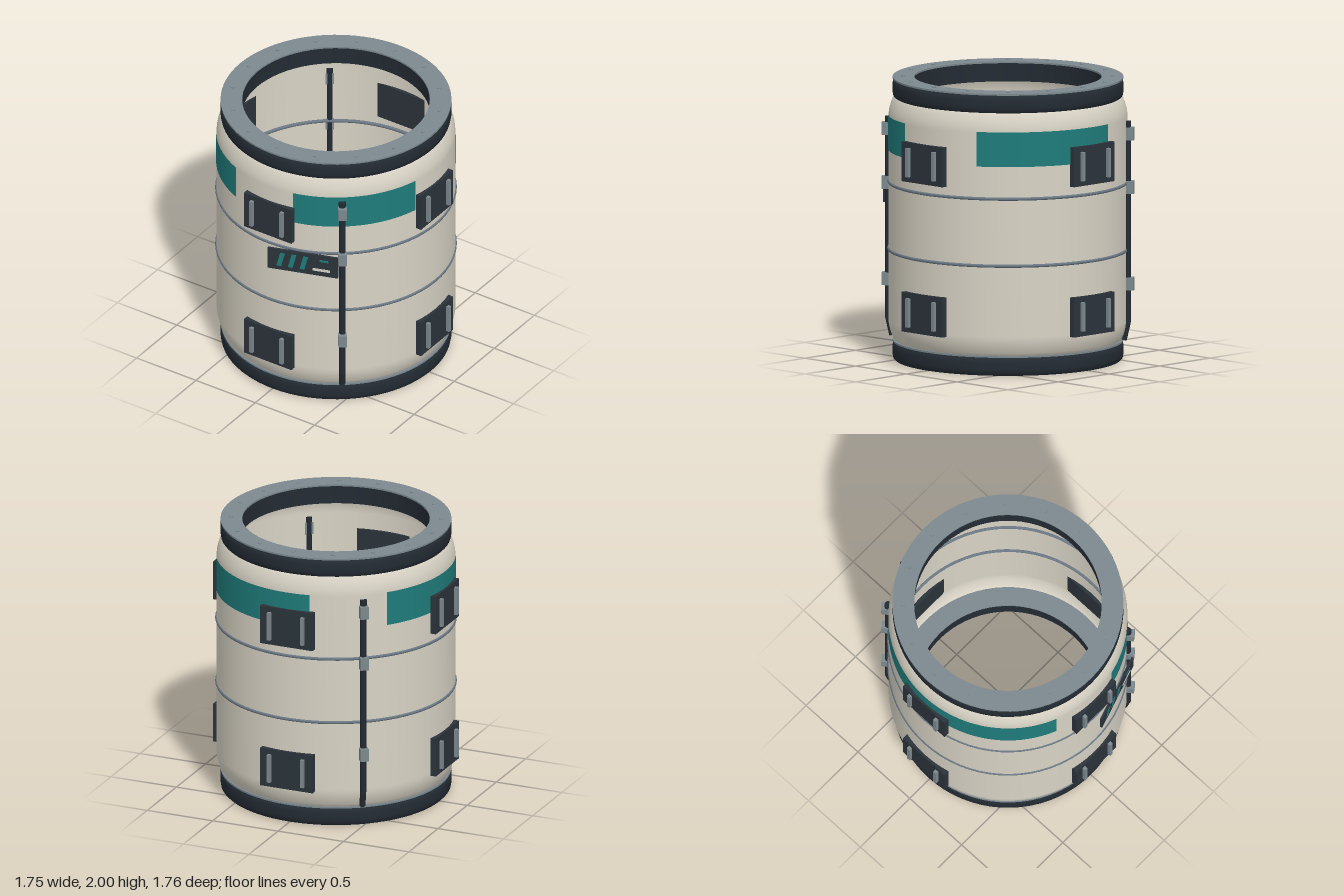
import * as THREE from 'three';
import { toCreasedNormals } from 'three/addons/utils/BufferGeometryUtils.js';

const paint = (name, color, side = THREE.FrontSide) => {
  const m = new THREE.MeshStandardMaterial({ color, side });
  m.name = name;
  return m;
};

export function createModel() {
  const root = new THREE.Group();
  root.name = 'cylindricalModule';

  const cream = paint('creamHull', 0xd8d3c5, THREE.DoubleSide);
  const dark = paint('darkPanel', 0x2b333b);
  const black = paint('blackRubber', 0x232b33);
  const grey = paint('greyMetal', 0x7c898f);
  const steel = paint('blueSteel', 0x6b7884);
  const teal = paint('tealPaint', 0x1f7c7b);

  const add = (parent, name, geometry, material, x = 0, y = 0, z = 0) => {
    const mesh = new THREE.Mesh(geometry, material);
    mesh.name = name;
    mesh.position.set(x, y, z);
    parent.add(mesh);
    return mesh;
  };
  const lathe = (pts, seg = 72) =>
    new THREE.LatheGeometry(pts.map(([r, y]) => new THREE.Vector2(r, y)), seg);
  const box = (w, h, d) => new THREE.BoxGeometry(w, h, d);
  // Group whose local +z points outward at the given angle around the hull
  const sector = (name, angle) => {
    const g = new THREE.Group();
    g.name = name;
    g.rotation.y = angle;
    root.add(g);
    return g;
  };

  // Thin open hull with rounded shoulders
  add(root, 'hull', lathe([
    [0.79, 0.14], [0.806, 0.16], [0.822, 0.205], [0.831, 0.24], [0.835, 0.28],
    [0.835, 1.72], [0.831, 1.76], [0.822, 1.795], [0.806, 1.84], [0.79, 1.86],
  ]), cream);

  // End collars, each topped by a metal flange
  const collar = toCreasedNormals(lathe([
    [0.66, 0], [0.79, 0], [0.802, 0.012], [0.807, 0.04], [0.807, 0.09],
    [0.802, 0.118], [0.79, 0.13], [0.66, 0.13], [0.66, 0],
  ]), 0.7);
  const flange = toCreasedNormals(lathe([
    [0.655, 0], [0.806, 0], [0.806, 0.012], [0.655, 0.012], [0.655, 0],
  ]), 0.7);
  for (const [end, y] of [['lower', 0], ['upper', 1.853]]) {
    add(root, end + 'Collar', collar, black, 0, y, 0);
    add(root, end + 'Flange', flange, grey, 0, y + 0.129, 0);
  }

  // Bolts on the upper flange
  const boltGeo = new THREE.CylinderGeometry(0.014, 0.014, 0.012, 12);
  for (let i = 0; i < 16; i++) {
    const a = (i / 16) * Math.PI * 2;
    add(root, 'flangeBolt', boltGeo, grey, Math.sin(a) * 0.733, 1.994, Math.cos(a) * 0.733);
  }

  // Hoops round the hull
  for (const y of [0.782, 1.256]) {
    const hoop = add(root, 'hoop', new THREE.TorusGeometry(0.831, 0.013, 8, 72), steel, 0, y, 0);
    hoop.rotation.x = Math.PI / 2;
  }

  // Painted bands: start angle and sweep
  for (const [start, sweep] of [[0.23, 1.09], [2.09, 1.25], [4.0, 1.89]]) {
    const geo = new THREE.CylinderGeometry(0.8375, 0.8375, 0.245, Math.round(sweep * 24), 1, true, start, sweep);
    add(root, 'paintedBand', geo, teal, 0, 1.605, 0);
  }

  // Equipment panels with two upright handles
  for (let i = 0; i < 4; i++) {
    const side = sector('panelColumn', (i * Math.PI) / 2);
    for (const y of [0.403, 1.465]) {
      add(side, 'panel', box(0.4, 0.28, 0.042), dark, 0, y, 0.831);
      for (const s of [-1, 1]) {
        add(side, 'panelHandle', box(0.026, 0.205, 0.028), grey, s * 0.127, y, 0.862);
      }
    }
  }

  // Vertical pipes with clamps, bending into the hull at the foot
  const pipePath = new THREE.CurvePath();
  const [foot, bend, top] = [[0.15, 0.815], [0.27, 0.843], [1.69, 0.843]]
    .map(([y, r]) => new THREE.Vector3(0, y, r));
  pipePath.add(new THREE.LineCurve3(foot, bend));
  pipePath.add(new THREE.LineCurve3(bend, top));
  const pipeGeo = new THREE.TubeGeometry(pipePath, 50, 0.022, 12, false);
  const capGeo = new THREE.CylinderGeometry(0.025, 0.025, 0.04, 12);
  for (const a of [0.647, 0.647 + Math.PI]) {
    const run = sector('pipeRun', a);
    add(run, 'pipe', pipeGeo, black);
    add(run, 'pipeCap', capGeo, black, 0, 1.675, 0.843);
    for (const y of [0.547, 1.228, 1.608]) {
      add(run, 'pipeClamp', box(0.06, 0.09, 0.06), grey, 0, y, 0.859);
    }
  }

  // Marker board beside the front pipe
  const board = new THREE.Group();
  board.name = 'markerBoard';
  const tilt = sector('markerMount', 0.316);
  tilt.add(board);
  board.position.set(0, 1.163, 0.842);
  add(board, 'boardPlate', box(0.51, 0.168, 0.016), dark);
  const slash = new THREE.Shape([[-0.031, -0.054], [0.004, -0.054], [0.031, 0.054], [-0.004, 0.054]]
    .map(([x, y]) => new THREE.Vector2(x, y)));
  const slashGeo = new THREE.ExtrudeGeometry(slash, { depth: 0.004, bevelEnabled: false });
  for (const x of [-0.158, -0.075, 0.01]) add(board, 'boardSlash', slashGeo, teal, x, 0.003, 0.007);
  add(board, 'boardShortBar', box(0.062, 0.016, 0.004), teal, 0.157, 0.042, 0.009);
  add(board, 'boardLongBar', box(0.126, 0.02, 0.004), cream, 0.137, -0.036, 0.009);

  root.position.z = -0.006;
  const model = new THREE.Group();
  model.name = 'model';
  model.add(root);
  return model;
}
